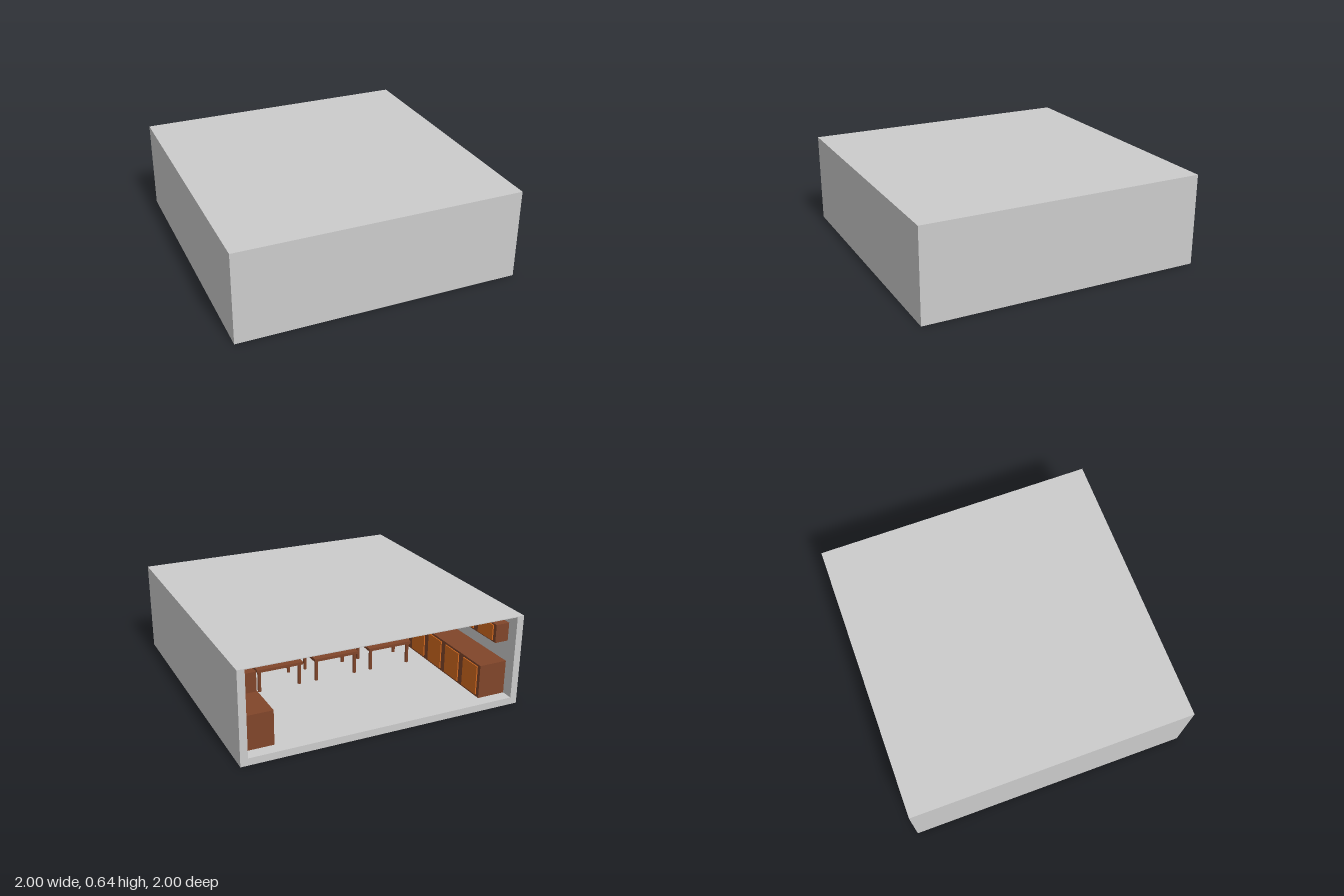
import * as THREE from 'three';

const shell = new THREE.MeshStandardMaterial({ color: 0xcccccc });
const wood = new THREE.MeshStandardMaterial({ color: 0x80452a });
const door = new THREE.MeshStandardMaterial({ color: 0xd2691e });

// Box given by its lower and upper bounds on each axis
function box(parent, name, [x0, x1], [y0, y1], [z0, z1], material) {
  const mesh = new THREE.Mesh(new THREE.BoxGeometry(x1 - x0, y1 - y0, z1 - z0), material);
  mesh.position.set((x0 + x1) / 2, (y0 + y1) / 2, (z0 + z1) / 2);
  mesh.name = name;
  parent.add(mesh);
}

// Row of cabinets along a side wall, with doors facing the middle of the room
function cabinetRow(name, side, depth, y0, y1, margin) {
  const group = new THREE.Group();
  group.name = name;
  const wall = 0.95, half = 0.915, count = 8, pitch = (2 * half) / count;
  const span = (a, b) => (side > 0 ? [a, b] : [-b, -a]);
  const face = wall - depth;
  box(group, 'cabinetBody', span(face, wall), [y0, y1], [-half, half], wood);
  for (let i = 0; i < count; i++) {
    const z = -half + (i + 0.5) * pitch;
    box(group, 'cabinetDoor', span(face - 0.008, face),
      [y0 + margin, y1 - margin], [z - 0.085, z + 0.085], door);
  }
  return group;
}

// Long table on three pairs of round legs
function table(x) {
  const group = new THREE.Group();
  group.name = 'table';
  box(group, 'tableTop', [x - 0.17, x + 0.17], [0.2, 0.22], [-0.22, 0.22], wood);
  const legShape = new THREE.CylinderGeometry(0.0125, 0.0125, 0.15, 12);
  for (const dx of [-0.15, 0.15]) {
    for (const z of [-0.2, 0, 0.2]) {
      const leg = new THREE.Mesh(legShape, wood);
      leg.name = 'tableLeg';
      leg.position.set(x + dx, 0.125, z);
      group.add(leg);
    }
  }
  return group;
}

export function createModel() {
  const model = new THREE.Group();
  model.name = 'room';

  // Shell: open at the back
  box(model, 'floor', [-1, 1], [0, 0.05], [-1, 1], shell);
  box(model, 'roof', [-1, 1], [0.64, 0.645], [-1, 1], shell);
  box(model, 'frontWall', [-0.95, 0.95], [0.05, 0.64], [0.95, 1], shell);
  box(model, 'leftWall', [0.95, 1], [0.05, 0.64], [-1, 1], shell);
  box(model, 'rightWall', [-1, -0.95], [0.05, 0.64], [-1, 1], shell);

  // Cabinets on both side walls
  for (const side of [1, -1]) {
    model.add(cabinetRow('baseCabinets', side, 0.205, 0.05, 0.29, 0.015));
    model.add(cabinetRow('wallCabinets', side, 0.1, 0.44, 0.57, 0.01));
  }

  // Tables in the middle
  for (const x of [-0.44, -0.01, 0.42]) model.add(table(x));

  return model;
}
